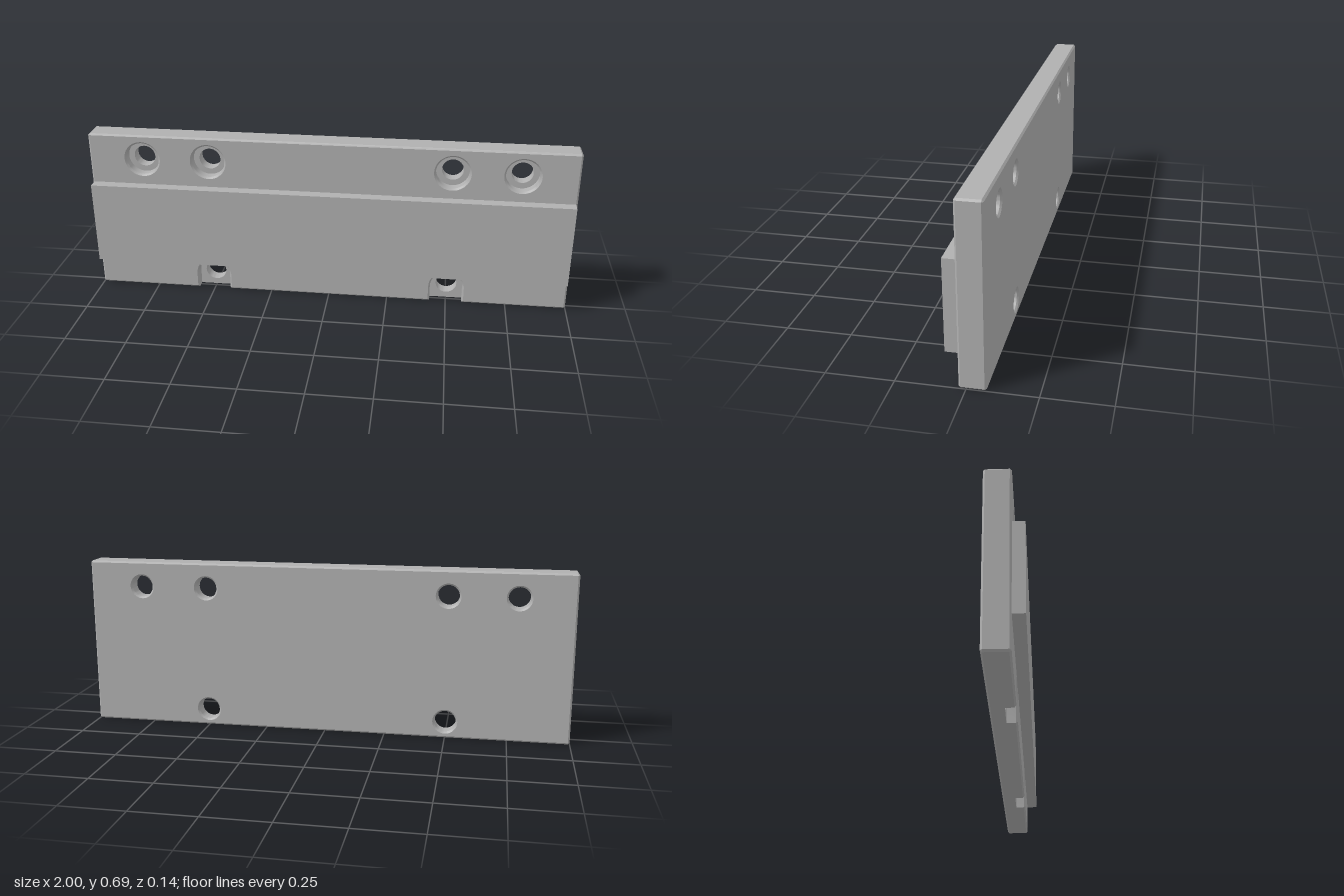
import * as THREE from 'three';
import { toCreasedNormals } from 'three/addons/utils/BufferGeometryUtils.js';

const HALF = 1, HEIGHT = 0.693, CHAMFER = 0.007;
const BACK = -0.071, FRONT = 0.027, FLOOR = -0.014, RAIL_FRONT = 0.072;
const HOLE_R = 0.044, BORE_R = 0.068;
const SLOTS = [[-0.5, 0.069], [0.5, 0.069]];
const BORES = [[-0.777, 0.59], [-0.5, 0.59], [0.5, 0.59], [0.777, 0.59]];
const SEGMENTS = 40;

const v = (x, y) => new THREE.Vector2(x, y);

// Clockwise circle, used as a hole contour
function circle([x, y], r) {
  return Array.from({ length: SEGMENTS }, (_, i) => {
    const a = -i / SEGMENTS * Math.PI * 2;
    return v(x + r * Math.cos(a), y + r * Math.sin(a));
  });
}

// Arch open at the bottom, running from its left foot to its right foot
function arch([x, y], r, foot) {
  const pts = [v(x - r, foot)];
  for (let i = 0; i <= SEGMENTS / 2; i++) {
    const a = Math.PI * (1 - i / (SEGMENTS / 2));
    pts.push(v(x + r * Math.cos(a), y + r * Math.sin(a)));
  }
  return [...pts, v(x + r, foot)];
}

// Counter-clockwise plate outline with cut corners and optional bottom slots
function outline(inset, slotR = 0) {
  const c = CHAMFER, X = HALF - inset, top = HEIGHT - inset;
  return [
    v(-HALF + c, inset),
    ...(slotR ? SLOTS.flatMap(s => arch(s, slotR, inset)) : []),
    v(HALF - c, inset), v(X, c), v(X, HEIGHT - c), v(HALF - c, top),
    v(-HALF + c, top), v(-X, HEIGHT - c), v(-X, c),
  ];
}

// Collects walls between contours and flat caps into one mesh
function surface(name, material, build) {
  const pos = [];
  const tri = (...pts) => pts.forEach(([p, z]) => pos.push(p.x, p.y, z));
  const wall = (a, za, b, zb) => a.forEach((p, i) => {
    const j = (i + 1) % a.length;
    tri([p, za], [a[j], za], [b[j], zb]);
    tri([p, za], [b[j], zb], [b[i], zb]);
  });
  const cap = (outer, holes, z, facingBack = false) => {
    const o = outer.slice(), h = holes.map(c => c.slice());
    const faces = THREE.ShapeUtils.triangulateShape(o, h);
    const all = [...o, ...h.flat()];
    for (const f of faces) {
      const order = facingBack ? [f[0], f[2], f[1]] : f;
      tri(...order.map(i => [all[i], z]));
    }
  };
  build(wall, cap);
  const geo = new THREE.BufferGeometry();
  geo.setAttribute('position', new THREE.Float32BufferAttribute(pos, 3));
  const mesh = new THREE.Mesh(toCreasedNormals(geo, 0.4), material);
  mesh.name = name;
  return mesh;
}

export function createModel() {
  const model = new THREE.Group();
  model.name = 'mountingPlate';
  const grey = new THREE.MeshStandardMaterial({ color: 0xb0b0b0 });
  grey.name = 'plain grey';
  const c = CHAMFER, wide = BORE_R + c;

  // Chamfered plate body, slotted in its front half
  model.add(surface('plate', grey, (wall, cap) => {
    cap(outline(c), [...BORES, ...SLOTS].map(h => circle(h, HOLE_R + c)), BACK, true);
    wall(outline(c), BACK, outline(0), BACK + c);
    wall(outline(0), BACK + c, outline(0), FLOOR);
    wall(outline(0, BORE_R), FLOOR, outline(0, BORE_R), FRONT - c);
    wall(outline(0, BORE_R), FRONT - c, outline(c, wide), FRONT);
    cap(outline(c, wide), BORES.map(h => circle(h, wide)), FRONT);
  }));

  // Round counterbores with a chamfered rim
  BORES.forEach((h, i) => model.add(surface(`counterbore${i + 1}`, grey, (wall, cap) => {
    cap(circle(h, BORE_R).reverse(), [circle(h, HOLE_R)], FLOOR);
    wall(circle(h, BORE_R), FLOOR, circle(h, BORE_R), FRONT - c);
    wall(circle(h, BORE_R), FRONT - c, circle(h, wide), FRONT);
  })));

  // Floors of the open slots
  SLOTS.forEach((h, i) => model.add(surface(`slotFloor${i + 1}`, grey, (wall, cap) => {
    cap(arch(h, BORE_R, 0).reverse(), [circle(h, HOLE_R)], FLOOR);
  })));

  // Through holes, chamfered at the back
  [...BORES, ...SLOTS].forEach((h, i) => model.add(surface(`throughHole${i + 1}`, grey, wall => {
    wall(circle(h, HOLE_R + c), BACK, circle(h, HOLE_R), BACK + c);
    wall(circle(h, HOLE_R), BACK + c, circle(h, HOLE_R), FLOOR);
  })));

  // Raised rail across the front
  const bottom = 0.134, top = 0.48;
  const rail = new THREE.Mesh(
    new THREE.BoxGeometry((HALF - c) * 2, top - bottom, RAIL_FRONT - FRONT), grey);
  rail.position.set(0, (top + bottom) / 2, (RAIL_FRONT + FRONT) / 2);
  rail.name = 'rail';
  model.add(rail);

  return model;
}
